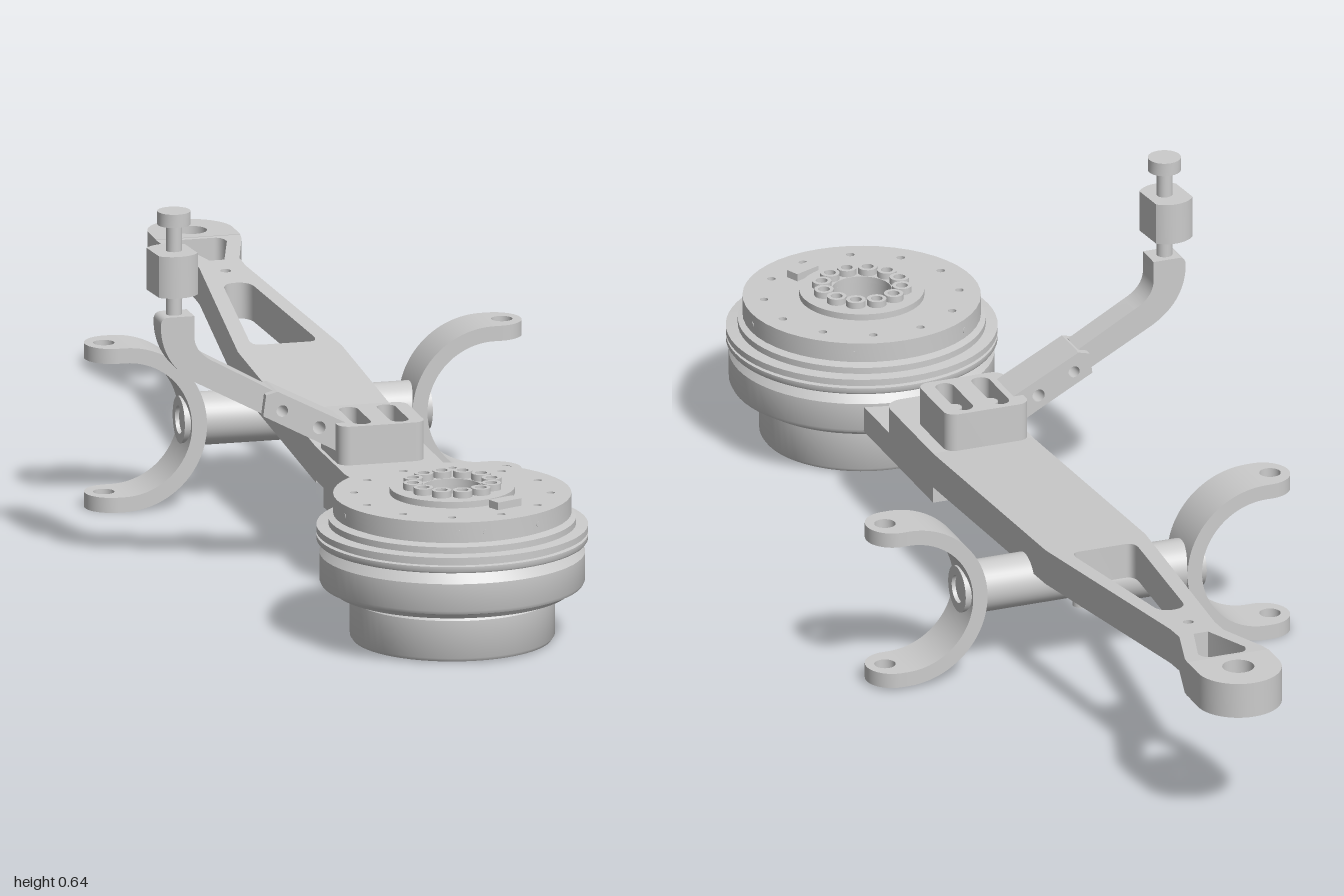
import * as THREE from 'three';
import { toCreasedNormals } from 'three/addons/utils/BufferGeometryUtils.js';

const MAT = new THREE.MeshStandardMaterial({ color: 0xcccccc });
const PI = Math.PI;

// Normals are creased at a larger scale so that small features stay separate
function add(parent, name, geometry, x = 0, y = 0, z = 0) {
  const creased = toCreasedNormals(geometry.scale(100, 100, 100), 0.6).scale(0.01, 0.01, 0.01);
  const mesh = new THREE.Mesh(creased, MAT);
  mesh.name = name;
  mesh.position.set(x, y, z);
  parent.add(mesh);
  return mesh;
}

// Closed shape from counter-clockwise corner points, with optional holes
function poly(points, holes = []) {
  const s = new THREE.Shape(points.map(([x, y]) => new THREE.Vector2(x, y)));
  s.holes.push(...holes);
  return s;
}

const circle = (x, y, r) => new THREE.Path().absarc(x, y, r, 0, 2 * PI, false);

// Slot with round ends, long in the second axis
function slot(x, y, half, r) {
  const p = new THREE.Path();
  p.absarc(x, y + half, r, 0, PI, false);
  p.absarc(x, y - half, r, PI, 2 * PI, false);
  p.closePath();
  return p;
}

// Horizontal plate from an (x, z) shape, its top at y = top
function plate(shape, top, depth) {
  return new THREE.ExtrudeGeometry(shape, { depth, bevelEnabled: false, curveSegments: 24 })
    .rotateX(PI / 2).translate(0, top, 0);
}

// Upright plate from an (x, y) shape, centred on z = 0
function upright(shape, width) {
  return new THREE.ExtrudeGeometry(shape, { depth: width, bevelEnabled: false, curveSegments: 24 })
    .translate(0, 0, -width / 2);
}

const lathe = (pts, n = 64) => new THREE.LatheGeometry(pts.map(([r, y]) => new THREE.Vector2(r, y)), n);

function makeDrum() {
  const g = new THREE.Group();
  g.name = 'drum';
  g.position.set(0.012, 0, 0.772);
  // hollow pulley, body, grooved rims
  add(g, 'drumBody', lathe([
    [0, 0.045], [0.03, 0.045], [0.03, 0.025], [0.05, 0.025], [0.05, 0.04], [0.075, 0.04], [0.075, 0.07],
    [0.152, 0.07], [0.152, 0.007], [0.168, 0.007], [0.172, 0.013], [0.172, 0.078], [0.165, 0.086],
    [0.185, 0.088], [0.2, 0.09], [0.206, 0.098], [0.22, 0.102], [0.223, 0.108], [0.223, 0.155],
    [0.21, 0.173], [0.226, 0.175], [0.228, 0.178], [0.228, 0.186], [0.22, 0.187], [0.22, 0.19],
    [0.228, 0.191], [0.228, 0.202], [0.208, 0.204], [0.208, 0.215], [0.19, 0.218], [0.19, 0.224], [0, 0.224]]));
  // ribs inside the pulley
  for (let i = 0; i < 36; i++) {
    const a = i * PI / 18;
    add(g, 'pulleyRib', new THREE.BoxGeometry(0.008, 0.045, 0.01),
      0.15 * Math.cos(a), 0.032, 0.15 * Math.sin(a)).rotation.y = -a;
  }
  // drilled cover
  const disc = new THREE.Shape().absarc(0, 0, 0.2, 0, 2 * PI, false);
  disc.holes.push(circle(0, 0, 0.05));
  for (let i = 0; i < 12; i++) {
    const a = (i + 0.5) * PI / 6;
    disc.holes.push(circle(0.165 * Math.cos(a), 0.165 * Math.sin(a), 0.007));
  }
  add(g, 'cover', plate(disc, 0.256, 0.034));
  // raised hub with a ring of bolts
  add(g, 'hub', lathe([[0.05, 0.25], [0.105, 0.25], [0.105, 0.267], [0.05, 0.267], [0.05, 0.25]]));
  for (let i = 0; i < 12; i++) {
    const a = i * PI / 6;
    add(g, 'hubBolt', lathe([[0.0165, 0.258], [0.0165, 0.278], [0.01, 0.278], [0.01, 0.269], [0, 0.269]], 20),
      0.068 * Math.cos(a), 0, 0.068 * Math.sin(a));
  }
  add(g, 'connector', new THREE.BoxGeometry(0.05, 0.014, 0.025), 0.062, 0.262, 0.112).rotation.y = 0.4;
  // small side screws on the cover
  for (const a of [-0.2, 0.03, 0.55, 1.6, 2.7, 3.8, 4.9]) {
    const geo = new THREE.CylinderGeometry(0.005, 0.005, 0.003, 12).rotateX(PI / 2);
    add(g, 'sideScrew', geo, 0.199 * Math.sin(a), 0.237, 0.199 * Math.cos(a)).rotation.y = a;
  }
  return g;
}

function makeArm() {
  const g = new THREE.Group();
  g.name = 'mainArm';
  g.position.x = 0.009;
  const T = 0.062, H = 0.09;
  // level front end with rounded corners
  const front = new THREE.Shape();
  front.moveTo(-H, 0.23);
  front.lineTo(H, 0.23);
  front.lineTo(H, 0.42);
  front.quadraticCurveTo(H, 0.457, H - 0.037, 0.457);
  front.lineTo(0.037 - H, 0.457);
  front.quadraticCurveTo(-H, 0.457, -H, 0.42);
  add(g, 'armFront', plate(front, 0.205, 0.058));

  // tapering middle with windows, sheared to climb toward the back
  const big = new THREE.Path();
  big.moveTo(-0.042, -0.31);
  big.lineTo(0.042, -0.31);
  big.quadraticCurveTo(0.057, -0.31, 0.056, -0.335);
  big.lineTo(0.026, -0.61);
  big.quadraticCurveTo(0.022, -0.635, 0, -0.635);
  big.quadraticCurveTo(-0.022, -0.635, -0.026, -0.61);
  big.lineTo(-0.056, -0.335);
  big.quadraticCurveTo(-0.057, -0.31, -0.042, -0.31);
  const small = new THREE.Path();
  small.moveTo(-0.013, -0.757);
  small.lineTo(0.013, -0.757);
  small.lineTo(0.042, -0.85);
  small.quadraticCurveTo(0.04, -0.872, 0.025, -0.872);
  small.lineTo(-0.025, -0.872);
  small.quadraticCurveTo(-0.04, -0.872, -0.042, -0.85);
  small.closePath();
  const half = [[H, 0.23], [H, -0.28], [0.04, -0.72], [0.04, -0.76], [0.07, -0.86], [0.073, -0.88]];
  const middle = poly([...half.map(([x, z]) => [-x, z]), ...half.reverse()],
    [big, small, circle(0, -0.7, 0.009)]);
  const geo = plate(middle, 0, T);
  const p = geo.attributes.position;
  for (let i = 0; i < p.count; i++) p.setY(i, p.getY(i) + 0.205 + 0.0695 * (0.23 - p.getZ(i)));
  add(g, 'armMiddle', geo);

  // level round eye at the back
  const eye = new THREE.Shape();
  eye.moveTo(0.073, -0.88);
  eye.lineTo(-0.073, -0.88);
  eye.lineTo(-0.073, -0.927);
  eye.absarc(0, -0.927, 0.073, PI, 2 * PI, false);
  eye.holes.push(circle(0, -0.927, 0.027));
  add(g, 'armEye', plate(eye, 0.283, T));
  return g;
}

// C-shaped claw opening toward +x, centred on its arc, with its half of the cross tube
function makeClaw(name) {
  const g = new THREE.Group();
  g.name = name;
  const R = 0.142, r = 0.116;
  const arc = new THREE.Shape();
  arc.absarc(0, 0, R, PI / 2, 1.5 * PI, false);
  arc.absarc(0, 0, r, 1.5 * PI, PI / 2, true);
  arc.closePath();
  add(g, 'clawArc', upright(arc, 0.092));
  for (const top of [R, -r]) {
    const pad = new THREE.Shape();
    pad.moveTo(0, 0.046);
    pad.lineTo(0, -0.046);
    pad.absarc(0.012, 0, 0.046, -PI / 2, PI / 2, false);
    pad.holes.push(circle(0.025, 0, 0.018));
    add(g, 'clawPad', plate(pad, top, R - r));
  }
  add(g, 'crossTube', new THREE.CylinderGeometry(0.045, 0.045, 0.19, 40).rotateZ(PI / 2), -0.224);
  // hollow boss where the cross tube comes through
  add(g, 'clawBoss', lathe([[0.04, -0.03], [0.04, 0.02], [0.024, 0.02], [0.024, 0.013], [0, 0.013]], 32)
    .rotateZ(-PI / 2), -0.125);
  return g;
}

function makeSideArm() {
  const g = new THREE.Group();
  g.name = 'sideArm';
  g.position.z = 0.297;
  // hinge lug
  add(g, 'hingeLug', upright(poly([[-0.05, 0.268], [-0.175, 0.333], [-0.195, 0.328], [-0.2, 0.292],
    [-0.11, 0.244], [-0.07, 0.222], [-0.05, 0.222]],
  [circle(-0.167, 0.299, 0.01), circle(-0.103, 0.266, 0.011)]), 0.076));
  // bent bar
  const bar = new THREE.Shape();
  bar.moveTo(-0.18, 0.283);
  bar.lineTo(-0.305, 0.35);
  bar.quadraticCurveTo(-0.373, 0.385, -0.374, 0.455);
  bar.quadraticCurveTo(-0.374, 0.47, -0.36, 0.47);
  bar.lineTo(-0.316, 0.47);
  bar.lineTo(-0.316, 0.435);
  bar.quadraticCurveTo(-0.315, 0.405, -0.28, 0.388);
  bar.lineTo(-0.18, 0.332);
  add(g, 'bentBar', upright(bar, 0.048));
  // post, round block with two flat sides, and knob
  add(g, 'post', new THREE.CylinderGeometry(0.0135, 0.0135, 0.175, 24), -0.345, 0.545);
  const block = new THREE.Shape();
  block.absarc(0, 0, 0.046, 0.23 * PI, 0.77 * PI, false);
  block.absarc(0, 0, 0.046, 1.23 * PI, 1.77 * PI, false);
  block.closePath();
  add(g, 'postBlock', plate(block, 0.036, 0.072).rotateY(0.1), -0.348, 0.544);
  add(g, 'knob', new THREE.CylinderGeometry(0.028, 0.028, 0.023, 24), -0.345, 0.637);
  return g;
}

export function createModel() {
  const model = new THREE.Group();
  model.name = 'armAssembly';
  model.add(makeDrum(), makeArm(), makeSideArm());

  // slotted bracket joining drum and arm
  add(model, 'bracket', plate(poly([[-0.073, 0.25], [0.091, 0.25], [0.091, 0.62], [-0.073, 0.62]],
    [slot(-0.038, 0.375, 0.08, 0.013), slot(0.056, 0.375, 0.08, 0.013)]), 0.15, 0.045));

  // slotted clamp block on the arm
  const block = new THREE.Shape();
  for (const [x, z, a] of [[0.055, 0.345, 0], [-0.055, 0.345, 1], [-0.055, 0.245, 2], [0.055, 0.245, 3]])
    block.absarc(x, z, 0.02, a * PI / 2, (a + 1) * PI / 2, false);
  block.holes.push(slot(-0.03, 0.295, 0.042, 0.016), slot(0.035, 0.295, 0.042, 0.016));
  add(model, 'clampBlock', plate(block, 0.272, 0.07));
  for (const x of [-0.03, 0.035])
    add(model, 'clampScrew', new THREE.CylinderGeometry(0.013, 0.013, 0.05, 16), x, 0.228, 0.295);

  // claws on both sides, their tubes meeting under the arm
  add(model, 'tubePin', new THREE.CylinderGeometry(0.014, 0.014, 0.05, 20), 0.005, 0.118, -0.203);
  const left = makeClaw('leftClaw');
  left.position.set(0.327, 0.151, -0.187);
  const right = makeClaw('rightClaw');
  right.position.set(-0.304, 0.146, -0.222);
  right.rotation.y = PI;
  model.add(left, right);
  return model;
}
